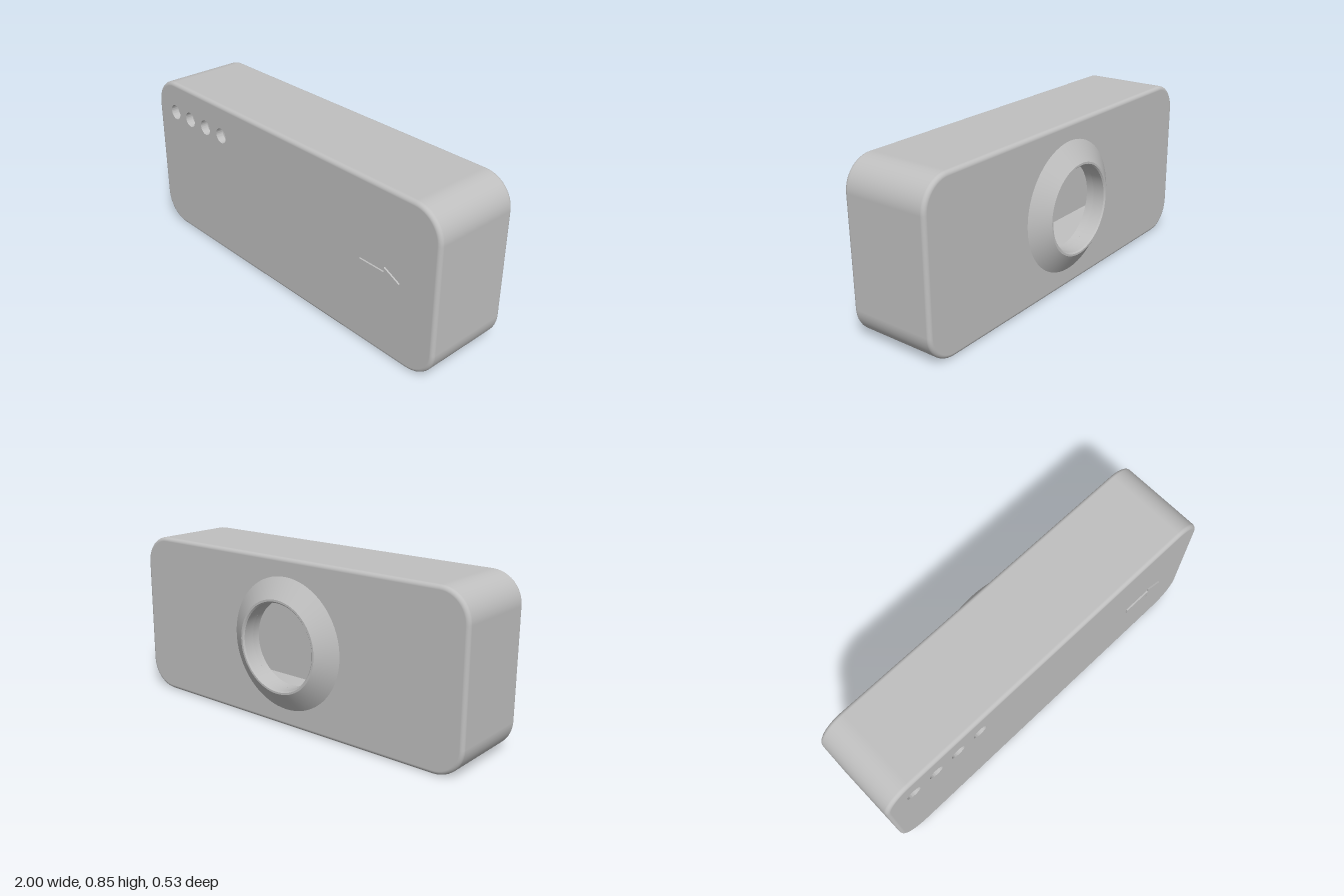
import * as THREE from 'three';
import { toCreasedNormals } from 'three/addons/utils/BufferGeometryUtils.js';

const W = 2, H = 0.845, MID = H / 2;      // case width, height, centre height
const FRONT = 0.257, BACK = -0.198;       // outer faces
const WALL = 0.04, SIDE = 0.08;           // plate and rim thickness
const CORNER = 0.15, FILLET = 0.02;
const BORE = 0.217;

// Points and outward normals of a rounded rectangle, inset from the outer outline
function outline(inset, steps = 12) {
  const pts = [], r = CORNER - inset;
  const cx = W / 2 - CORNER, cy = H / 2 - CORNER;
  [[1, 1], [-1, 1], [-1, -1], [1, -1]].forEach(([sx, sy], q) => {
    for (let i = 0; i <= steps; i++) {
      const a = (q + i / steps) * Math.PI / 2;
      const nx = Math.cos(a), ny = Math.sin(a);
      pts.push({ x: sx * cx + r * nx, y: MID + sy * cy + r * ny, nx, ny });
    }
  });
  return pts;
}

const toVectors = (pts) => pts.map((p) => new THREE.Vector2(p.x, p.y));

function circle(x, y, r) {
  return new THREE.Path().absarc(x, y, r, 0, Math.PI * 2, true);
}

// Extruded plate from z0 to z1
function plate(shape, z0, z1) {
  const g = new THREE.ExtrudeGeometry(shape, { depth: z1 - z0, bevelEnabled: false, curveSegments: 32 });
  g.translate(0, 0, z0);
  return toCreasedNormals(g, 0.6);
}

// Outer rim: rounded-rectangle loops with a quarter-round fillet at each end
function rimGeometry() {
  const pos = [], nor = [], idx = [], steps = 6, levels = [];
  for (const end of [-1, 1]) {
    for (let i = 0; i <= steps; i++) {
      const t = (end < 0 ? i / steps - 1 : i / steps) * Math.PI / 2;
      const z = (end < 0 ? BACK + FILLET : FRONT - FILLET) + FILLET * Math.sin(t);
      levels.push([z, t]);
    }
  }
  let n = 0;
  for (const [z, t] of levels) {
    const loop = outline(FILLET * (1 - Math.cos(t)));
    n = loop.length;
    for (const p of loop) {
      pos.push(p.x, p.y, z);
      nor.push(p.nx * Math.cos(t), p.ny * Math.cos(t), Math.sin(t));
    }
  }
  for (let l = 0; l < levels.length - 1; l++) {
    for (let i = 0; i < n; i++) {
      const j = (i + 1) % n, a = l * n + i, b = l * n + j;
      idx.push(a, b, b + n, a, b + n, a + n);
    }
  }
  const g = new THREE.BufferGeometry();
  g.setAttribute('position', new THREE.Float32BufferAttribute(pos, 3));
  g.setAttribute('normal', new THREE.Float32BufferAttribute(nor, 3));
  g.setIndex(idx);
  return g;
}

export function createModel() {
  const group = new THREE.Group();
  const grey = new THREE.MeshStandardMaterial({ color: 0xc0c0c0 });
  grey.name = 'grey plastic';
  const add = (name, geometry) => {
    const mesh = new THREE.Mesh(geometry, grey);
    mesh.name = name;
    group.add(mesh);
  };

  add('outerRim', rimGeometry());

  // Inner frame around the hollow
  const frame = new THREE.Shape(toVectors(outline(FILLET)));
  frame.holes.push(new THREE.Path(toVectors(outline(SIDE)).reverse()));
  add('innerFrame', plate(frame, BACK + WALL, FRONT - WALL));

  // Front plate with a row of four small holes
  const front = new THREE.Shape(toVectors(outline(FILLET)));
  for (let i = 0; i < 4; i++) front.holes.push(circle(-0.847 + i * 0.133, 0.68, 0.039));
  add('frontPlate', plate(front, FRONT - WALL, FRONT));

  // Back plate with the large opening
  const back = new THREE.Shape(toVectors(outline(FILLET)));
  back.holes.push(circle(0, MID, BORE));
  add('backPlate', plate(back, BACK, BACK + WALL));

  // Conical collar around the back opening
  const profile = [[0.333, 0], [0.234, 0.067], [0.224, 0.067], [BORE, 0.06], [BORE, 0]]
    .map(([r, y]) => new THREE.Vector2(r, y));
  const collar = toCreasedNormals(new THREE.LatheGeometry(profile, 72), 0.5);
  collar.rotateX(-Math.PI / 2);
  collar.translate(0, MID, BACK);
  add('backCollar', collar);

  // Raised arrow on the front
  const arrow = new THREE.Shape([
    [0.555, -0.019], [0.705, -0.019], [0.705, -0.043], [0.795, 0],
    [0.705, 0.043], [0.705, 0.019], [0.555, 0.019],
  ].map(([x, y]) => new THREE.Vector2(x, MID + y)));
  add('raisedArrow', plate(arrow, FRONT - 0.002, 0.265));

  return group;
}
